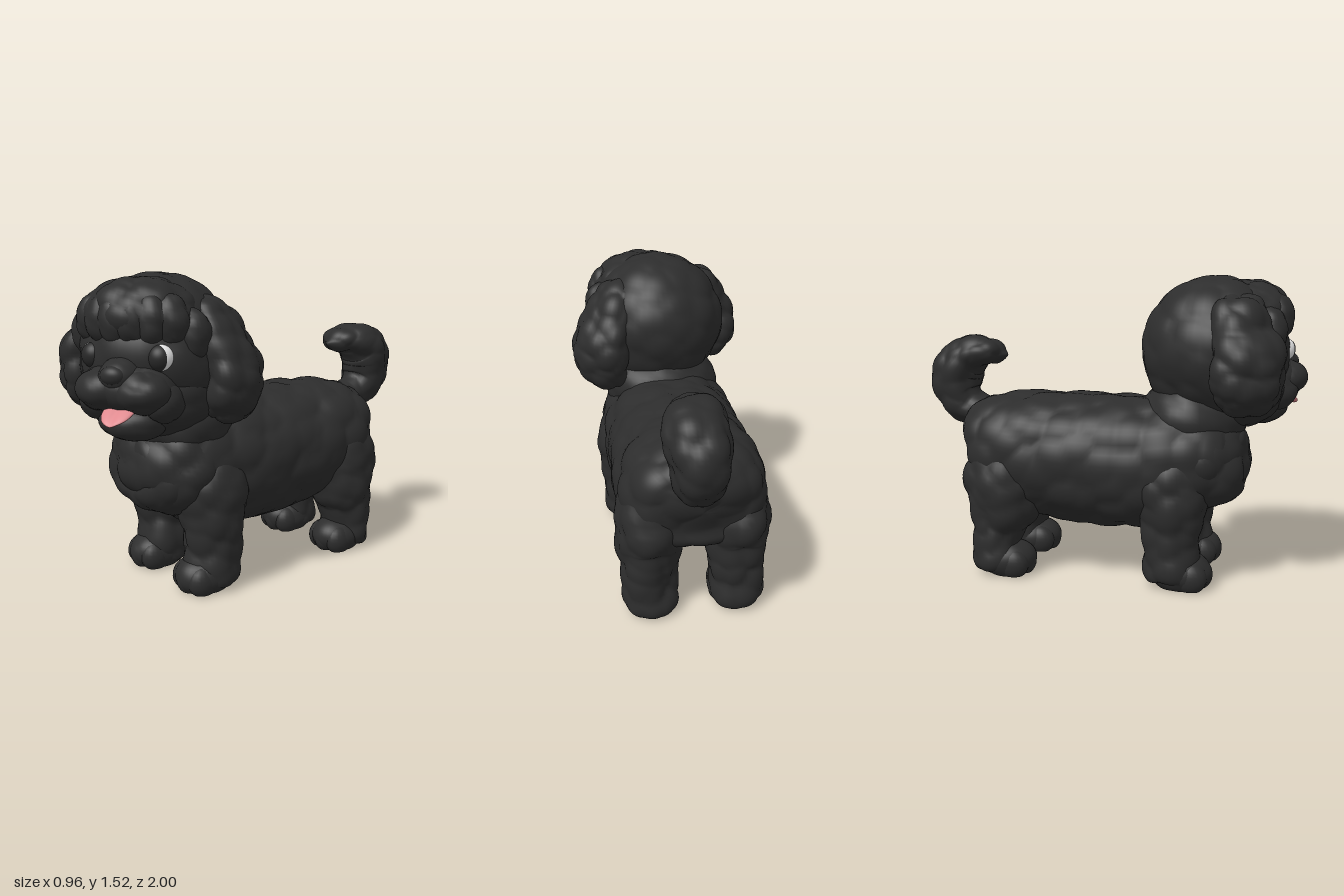
import * as THREE from 'three';
import { mergeVertices } from 'three/addons/utils/BufferGeometryUtils.js';

const mat = (name, color) => Object.assign(new THREE.MeshStandardMaterial({ color }), { name });

// Repeatable pseudo-random value for a lattice cell
const hash = (i, j, k, s) => {
  const v = Math.sin(i * 127.1 + j * 311.7 + k * 74.7 + s * 53.3) * 43758.5453;
  return v - Math.floor(v);
};

// Height of rounded fur clumps: 1 at a clump centre, falling towards the creases
function clump(x, y, z) {
  const cx = Math.floor(x), cy = Math.floor(y), cz = Math.floor(z);
  let best = 9;
  for (let i = cx - 1; i <= cx + 1; i++)
    for (let j = cy - 1; j <= cy + 1; j++)
      for (let k = cz - 1; k <= cz + 1; k++) {
        const dx = i + hash(i, j, k, 1) - x, dy = j + hash(i, j, k, 2) - y, dz = k + hash(i, j, k, 3) - z;
        best = Math.min(best, dx * dx + dy * dy + dz * dz);
      }
  return 1 - best;
}

// Weld a closed surface, push fur clumps out along its normals, optionally flatten at the ground
function furry(geo, amp, cell = 0.13, floor = false) {
  geo.deleteAttribute('uv');
  geo.deleteAttribute('normal');
  const g = mergeVertices(geo, 1e-5);
  g.computeVertexNormals();
  const p = g.attributes.position, n = g.attributes.normal;
  for (let i = 0; i < p.count; i++) {
    const x = p.getX(i), y = p.getY(i), z = p.getZ(i);
    const d = amp * (clump(x / cell, y / cell, z / cell) - 0.65);
    const ny = y + n.getY(i) * d;
    p.setXYZ(i, x + n.getX(i) * d, floor ? Math.max(0, ny) : ny, z + n.getZ(i) * d);
  }
  g.computeVertexNormals();
  return g;
}

const ellipsoid = (c, r, w = 40, h = 28) =>
  new THREE.SphereGeometry(1, w, h).scale(...r).translate(...c);

// Loft through sections [x, y, z, half width along x, half depth]
function loft(sections, rings = 64, sides = 48, power = 1) {
  const path = new THREE.CatmullRomCurve3(sections.map(s => new THREE.Vector3(s[0], s[1], s[2])));
  const size = new THREE.CatmullRomCurve3(sections.map(s => new THREE.Vector3(s[3], s[4], 0)), false, 'catmullrom', 0.5);
  const X = new THREE.Vector3(1, 0, 0), pos = [], idx = [];
  const bend = v => Math.sign(v) * Math.abs(v) ** power;
  for (let i = 0; i <= rings; i++) {
    const t = i / rings, c = path.getPoint(t), r = size.getPoint(t);
    const N = path.getTangent(t).cross(X).normalize();
    for (let j = 0; j < sides; j++) {
      const a = j / sides * Math.PI * 2;
      const q = c.clone().addScaledVector(X, Math.max(0, r.x) * bend(Math.cos(a)))
        .addScaledVector(N, Math.max(0, r.y) * bend(Math.sin(a)));
      pos.push(q.x, q.y, q.z);
      if (i < rings) {
        const k = (j + 1) % sides, A = i * sides + j, B = i * sides + k;
        idx.push(A, B, A + sides, B, B + sides, A + sides);
      }
    }
  }
  const g = new THREE.BufferGeometry();
  g.setAttribute('position', new THREE.Float32BufferAttribute(pos, 3));
  g.setIndex(idx);
  return g;
}

export function createModel() {
  const fur = mat('black fur', 0x2d2d2d), iris = mat('dark iris', 0x282828);
  const white = mat('eye white', 0xe8e8e8), pink = mat('tongue pink', 0xe08a8f);
  const model = new THREE.Group();
  model.name = 'dog';
  const add = (parent, name, geo, material = fur) => {
    const m = new THREE.Mesh(geo, material);
    m.name = name;
    parent.add(m);
    return m;
  };

  // Trunk, chest ruff and neck
  const cx = -0.03;
  add(model, 'body', furry(loft([
    [cx, 0.63, 0.72, 0, 0], [cx, 0.63, 0.70, 0.17, 0.13], [cx, 0.62, 0.62, 0.28, 0.23],
    [cx, 0.62, 0.45, 0.345, 0.30], [cx, 0.585, 0.2, 0.36, 0.335], [cx, 0.585, -0.1, 0.36, 0.335],
    [cx, 0.62, -0.4, 0.365, 0.31], [cx, 0.65, -0.58, 0.33, 0.265], [cx, 0.65, -0.70, 0.24, 0.19],
    [cx, 0.64, -0.735, 0, 0]], 120, 84, 0.92), 0.03, 0.14));
  add(model, 'chestRuff', furry(ellipsoid([-0.02, 0.62, 0.49], [0.335, 0.27, 0.24], 60, 44), 0.035, 0.13));
  add(model, 'neck', furry(ellipsoid([-0.01, 0.82, 0.44], [0.31, 0.22, 0.27], 48, 34), 0.025));

  // Legs with paws and soft toes
  const shapes = {
    front: { paw: 0.42, secs: [[0.74, 0.36, 0, 0], [0.69, 0.36, 0.1, 0.12], [0.53, 0.37, 0.168, 0.18],
      [0.36, 0.375, 0.16, 0.155], [0.2, 0.375, 0.143, 0.14], [0.04, 0.385, 0.125, 0.13], [0, 0.385, 0, 0]] },
    rear: { paw: -0.49, secs: [[0.78, -0.47, 0, 0], [0.7, -0.47, 0.1, 0.14], [0.52, -0.49, 0.158, 0.215],
      [0.36, -0.5, 0.158, 0.185], [0.26, -0.53, 0.143, 0.145], [0.16, -0.54, 0.133, 0.12],
      [0.04, -0.53, 0.122, 0.115], [0, -0.52, 0, 0]] },
  };
  for (const [end, { paw, secs }] of Object.entries(shapes))
    for (const s of [1, -1]) {
      const x = -0.025 + s * 0.213, leg = new THREE.Group();
      leg.name = `${end}${s > 0 ? 'Left' : 'Right'}Leg`;
      model.add(leg);
      add(leg, 'limb', furry(loft(secs.map(([y, z, a, b]) => [x, y, z, a, b]), 60, 44), 0.035, 0.12, true));
      add(leg, 'paw', furry(ellipsoid([x, 0.075, paw], [0.13, 0.105, 0.155]), 0.012, 0.13, true));
      for (const t of [-1, 0, 1])
        add(leg, 'toe', furry(ellipsoid([x + t * 0.065, 0.065, paw + 0.075 - Math.abs(t) * 0.02],
          [0.06, 0.08, 0.083], 20, 14), 0, 0.1, true));
    }

  // Thick curled tail
  add(model, 'tail', furry(loft([
    [-0.03, 0.75, -0.53, 0, 0], [-0.02, 0.78, -0.61, 0.12, 0.1], [0, 0.81, -0.73, 0.105, 0.085],
    [0.01, 0.88, -0.835, 0.12, 0.12], [0.02, 1.0, -0.86, 0.14, 0.13], [0.02, 1.085, -0.81, 0.145, 0.12],
    [0.01, 1.125, -0.71, 0.13, 0.085], [0, 1.12, -0.62, 0.09, 0.055], [0, 1.11, -0.56, 0, 0]], 80, 44),
    0.03, 0.11));

  // Head, turned towards its left
  const head = new THREE.Group();
  head.name = 'head';
  head.position.set(0, 1.15, 0.54);
  head.rotation.y = Math.PI / 6;
  model.add(head);
  add(head, 'skull', furry(ellipsoid([0, 0, 0], [0.37, 0.365, 0.36], 72, 52), 0.025, 0.14));
  add(head, 'forehead', furry(ellipsoid([0, 0.185, 0.155], [0.27, 0.165, 0.22], 60, 44), 0.03, 0.1));
  add(head, 'jowls', furry(ellipsoid([0, -0.17, 0.08], [0.325, 0.215, 0.27], 52, 36), 0.025));
  add(head, 'chin', furry(ellipsoid([0, -0.285, 0.25], [0.16, 0.09, 0.14]), 0.015, 0.09));
  add(head, 'muzzle', furry(ellipsoid([0, -0.125, 0.265], [0.23, 0.13, 0.17]), 0.015, 0.1));
  add(head, 'muzzleBridge', furry(ellipsoid([0, -0.07, 0.33], [0.1, 0.085, 0.12]), 0.01, 0.09));
  add(head, 'nose', ellipsoid([0, -0.058, 0.42], [0.058, 0.042, 0.04], 28, 20));

  // Tongue, drooping forwards with a centre groove
  const tongueGeo = ellipsoid([0, 0, 0], [0.076, 0.018, 0.105], 32, 20);
  const tp = tongueGeo.attributes.position;
  for (let i = 0; i < tp.count; i++)
    tp.setY(i, tp.getY(i) - 0.008 * Math.exp(-((tp.getX(i) / 0.02) ** 2)));
  tongueGeo.computeVertexNormals();
  const tongue = add(head, 'tongue', tongueGeo, pink);
  tongue.position.set(0, -0.218, 0.372);
  tongue.rotation.x = 0.5;

  for (const s of [1, -1]) {
    const side = s > 0 ? 'left' : 'right';
    add(head, `${side}MuzzleLobe`, furry(ellipsoid([s * 0.095, -0.135, 0.325], [0.13, 0.1, 0.125]), 0.018, 0.1));
    add(head, `${side}Whiskers`, furry(ellipsoid([s * 0.165, -0.185, 0.255], [0.085, 0.1, 0.11], 28, 20), 0.015, 0.08));
    // Iris cap wraps the eyeball, looking slightly inwards and leaving a white outer crescent
    const eye = new THREE.Group();
    eye.name = `${side}Eye`;
    eye.position.set(s * 0.163, 0.01, 0.286);
    eye.rotation.y = s * -0.26;
    head.add(eye);
    add(eye, 'eyeball', new THREE.SphereGeometry(0.062, 32, 24), white);
    add(eye, 'iris', new THREE.SphereGeometry(0.0635, 32, 16, 0, Math.PI * 2, 0, 1.16).rotateX(Math.PI / 2), iris);
    // Hanging ear, the left one slightly lower
    const drop = s > 0 ? 0.025 : 0;
    add(head, `${side}Ear`, furry(loft([
      [0.23, 0.29, 0, 0, 0], [0.265, 0.25, 0, 0.075, 0.1], [0.325, 0.12, 0, 0.11, 0.155],
      [0.385, -0.04, 0, 0.125, 0.18], [0.38, -0.17, 0, 0.115, 0.165], [0.35, -0.265, 0, 0.075, 0.1],
      [0.34, -0.29, 0, 0, 0]].map(([x, y, ...r]) => [s * x, y - drop, ...r]), 56, 44), 0.04, 0.11));
    // Fringe of overlapping locks, parted in the middle, the outer one hanging lower
    [0.13, 0.38, 0.64, 0.98].forEach((a, i) =>
      add(head, 'browLock', furry(ellipsoid(
        [s * Math.sin(a) * 0.31, i === 3 ? 0.1 : 0.165, Math.cos(a) * 0.3],
        [0.09, 0.115, 0.078], 28, 20), 0.015, 0.07)));
  }
  return model;
}
